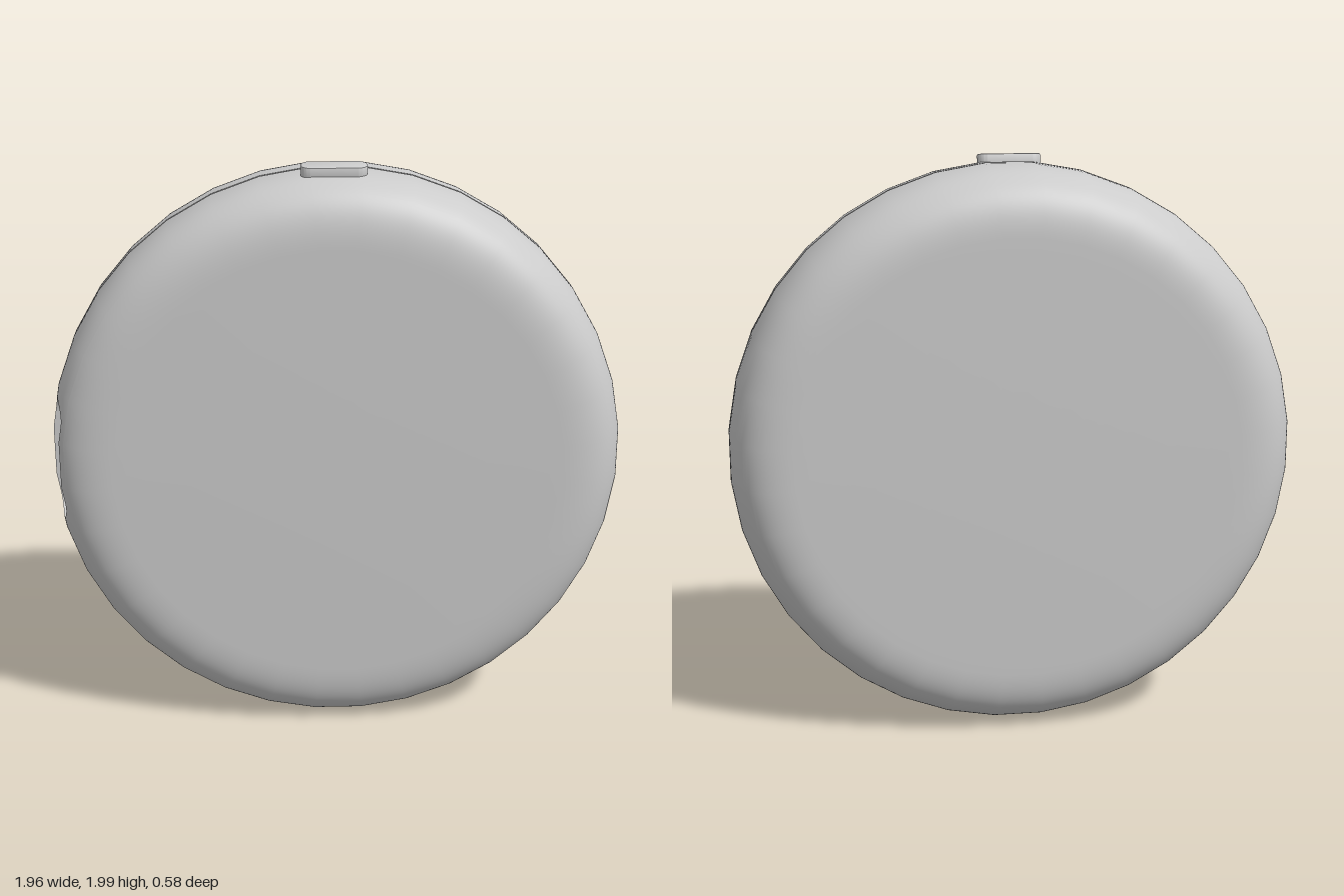
import * as THREE from 'three';
import { toCreasedNormals } from 'three/addons/utils/BufferGeometryUtils.js';

const CORE = 0.72, RIM = 0.265, RADIUS = CORE + RIM; // flat face radius, rounded edge width
const CY = 0.99, SEAM = 0.028, SIDES = 36;
const STEP = (Math.PI * 2) / SIDES;
const FRONT_DEPTH = 0.252, BACK_DEPTH = 0.312;
const BAND_START = 0.034, BAND_END = 0.225; // z range of the band that holds the slot
const SLOT_Z = (BAND_START + BAND_END) / 2;

const material = new THREE.MeshStandardMaterial({ color: 0xcccccc });

function add(parent, name, geometry) {
  const mesh = new THREE.Mesh(geometry, material);
  mesh.name = name;
  parent.add(mesh);
  return mesh;
}

// Rounded edge: radius at a distance d from the seam
const edgeRadius = (d, depth) =>
  CORE + RIM * Math.cbrt(Math.max(0, 1 - Math.pow(d / depth, 3)));

// Profile points (radius, distance from seam) along the rounded edge
function edge(depth, d0, d1, n) {
  const t0 = Math.asin(Math.pow(d0 / depth, 1.5));
  const t1 = Math.asin(Math.min(1, Math.pow(d1 / depth, 1.5)));
  const pts = [];
  for (let i = 0; i <= n; i++) {
    const d = i === n ? d1 : depth * Math.pow(Math.sin(t0 + ((t1 - t0) * i) / n), 2 / 3);
    pts.push(new THREE.Vector2(edgeRadius(d, depth), d));
  }
  return pts;
}

// Slightly domed face, from the rounded edge to the centre
const dome = (depth) => [0.5, 0.25, 0].map(
  (r) => new THREE.Vector2(r, depth + 0.006 * (1 - (r / CORE) ** 2)));

// Lathe turned so that its axis is z
function turned(points, start = STEP / 2, segments = SIDES) {
  return new THREE.LatheGeometry(points, segments, start, segments * STEP)
    .rotateX(Math.PI / 2).translate(0, CY, 0);
}

// Grid of quads between closed loops of points
function loft(rows, normals) {
  const n = rows[0].length, index = [];
  for (let j = 0; j < rows.length - 1; j++) {
    for (let i = 0; i < n; i++) {
      const a = j * n + i, b = j * n + ((i + 1) % n);
      index.push(a, b, a + n, b, b + n, a + n);
    }
  }
  const g = new THREE.BufferGeometry();
  g.setAttribute('position', new THREE.Float32BufferAttribute(rows.flat(2), 3));
  if (normals) g.setAttribute('normal', new THREE.Float32BufferAttribute(normals.flat(2), 3));
  g.setIndex(index);
  return g;
}

// Point on the right side of the shell, following its flat sides
function shellPoint([z, a]) {
  const off = a - STEP * Math.round(a / STEP);
  const r = (edgeRadius(z - SEAM, FRONT_DEPTH) * Math.cos(STEP / 2)) / Math.cos(off);
  return [-r * Math.cos(a), CY + r * Math.sin(a), z];
}

function shellNormal([z, a]) {
  const e = 0.001;
  const slope = (edgeRadius(z + e - SEAM, FRONT_DEPTH) - edgeRadius(z - e - SEAM, FRONT_DEPTH)) / (2 * e);
  const k = 1 / Math.hypot(1, slope);
  return [-Math.cos(a) * k, Math.sin(a) * k, -slope * k];
}

// Shell panel with a capsule-shaped opening, plus the recess behind it
function addSlot(parent) {
  const halfZ = (BAND_END - BAND_START) / 2, halfA = 1.5 * STEP;
  const r = 0.075, straight = 0.15;
  const outer = [];
  const side = (z0, a0, z1, a1, n) => {
    for (let i = 0; i < n; i++) outer.push([z0 + ((z1 - z0) * i) / n, a0 + ((a1 - a0) * i) / n]);
  };
  side(-halfZ, -halfA, halfZ, -halfA, 14);
  side(halfZ, -halfA, halfZ, halfA, 36);
  side(halfZ, halfA, -halfZ, halfA, 14);
  side(-halfZ, halfA, -halfZ, -halfA, 36);
  // Nearest point on the capsule for every point of the panel outline
  const inner = outer.map(([z, a]) => {
    const q = THREE.MathUtils.clamp(a, -straight, straight);
    const k = r / Math.hypot(z, a - q);
    return [z * k, q + (a - q) * k];
  });
  const rows = [];
  for (let j = 0; j <= 6; j++) {
    rows.push(outer.map(([z, a], i) => [
      SLOT_Z + THREE.MathUtils.lerp(z, inner[i][0], j / 6),
      THREE.MathUtils.lerp(a, inner[i][1], j / 6),
    ]));
  }
  add(parent, 'slotPanel', loft(rows.map((row) => row.map(shellPoint)),
    rows.map((row) => row.map(shellNormal))));

  const rim = rows[6].map(shellPoint);
  const floor = rim.map(([, y, z]) => [-0.89, y, z]);
  const centre = rim.map(() => [-0.89, CY, SLOT_Z]);
  add(parent, 'slotRecess', toCreasedNormals(loft([rim, floor, centre]), 0.6));
}

export function createModel() {
  const model = new THREE.Group();
  model.name = 'roundCase';

  // Back half, ordered from centre of the face to the seam
  const back = [...edge(BACK_DEPTH, 0.006, BACK_DEPTH, 24), ...dome(BACK_DEPTH)]
    .map((p) => new THREE.Vector2(p.x, SEAM - p.y)).reverse();
  add(model, 'backShell', turned(back));

  // Front half: side band with room for the slot panel, then the face
  const front = new THREE.Group();
  front.name = 'frontShell';
  model.add(front);
  const toFront = (p) => new THREE.Vector2(p.x, SEAM + p.y);
  const split = BAND_END - SEAM;
  const band = edge(FRONT_DEPTH, BAND_START - SEAM, split, 14).map(toFront);
  add(front, 'frontBand', turned(band, Math.PI * 1.5 + 1.5 * STEP, SIDES - 3));
  const face = [...edge(FRONT_DEPTH, split, FRONT_DEPTH, 14), ...dome(FRONT_DEPTH)].map(toFront);
  add(front, 'frontFace', turned(face));
  addSlot(front);

  // Narrow groove between the halves
  const groove = [[0, -0.006], [-0.02, -0.006], [-0.02, 0.006], [0, 0.006]]
    .map(([dr, dz]) => new THREE.Vector2(RADIUS + dr, SEAM + dz));
  add(model, 'seamGroove', toCreasedNormals(turned(groove), 0.6));

  // Push button on the top rim
  const w = 0.105, h = 0.035, c = 0.028;
  const outline = new THREE.Shape();
  outline.moveTo(-w + c, -h).lineTo(w - c, -h);
  outline.absarc(w - c, -h + c, c, -Math.PI / 2, 0);
  outline.absarc(w - c, h - c, c, 0, Math.PI / 2);
  outline.absarc(-w + c, h - c, c, Math.PI / 2, Math.PI);
  outline.absarc(-w + c, -h + c, c, Math.PI, Math.PI * 1.5);
  const buttonGeometry = new THREE.ExtrudeGeometry(outline, {
    depth: 0.05, bevelThickness: 0.005, bevelSize: 0.005, bevelSegments: 2, curveSegments: 6,
  }).rotateX(-Math.PI / 2);
  const button = add(model, 'topButton', toCreasedNormals(buttonGeometry, 0.6));
  button.position.set(-0.01, 1.94, 0.11);
  button.rotation.x = 0.11;

  return model;
}
